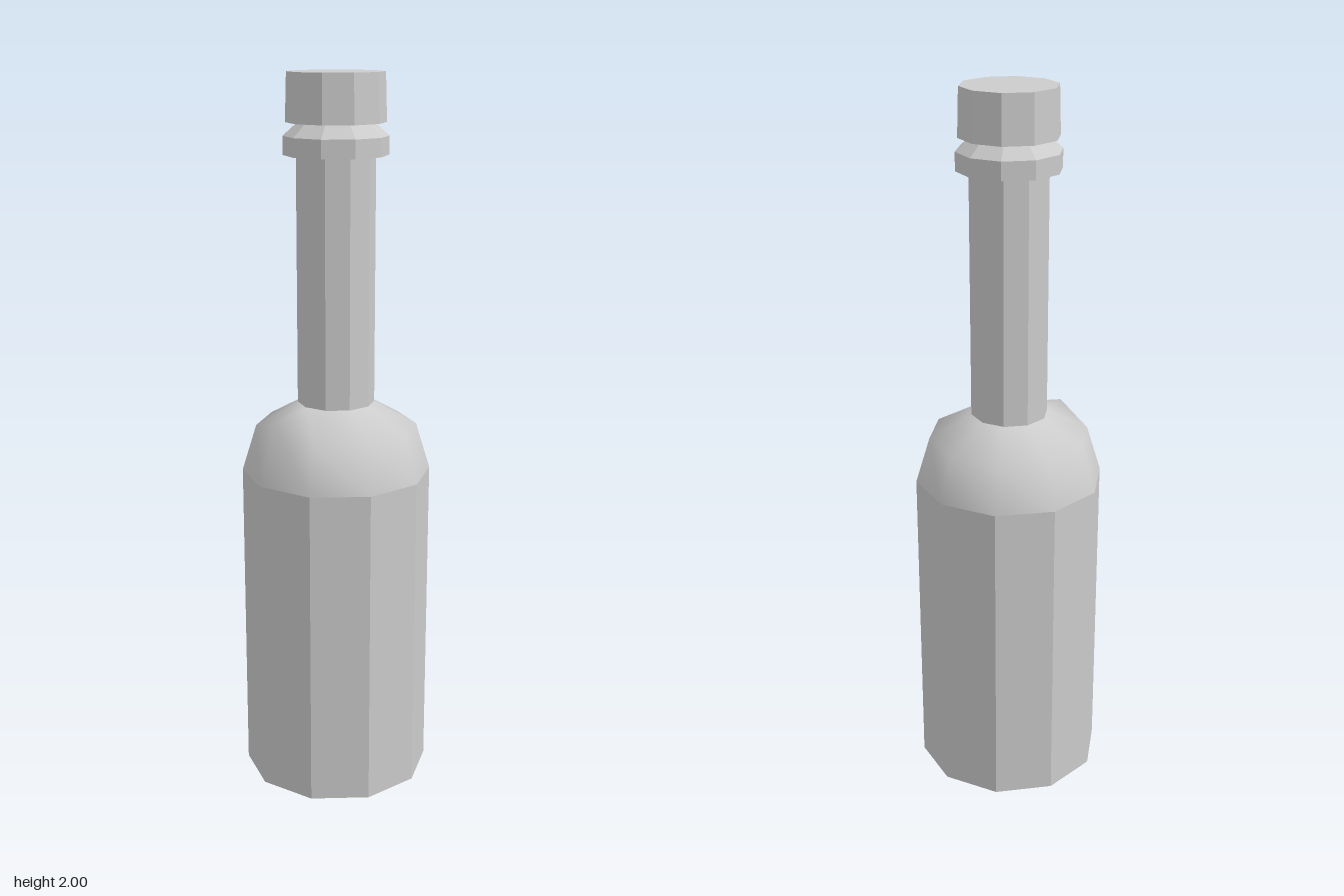
import * as THREE from 'three';
import { mergeVertices } from 'three/addons/utils/BufferGeometryUtils.js';

const SIDES = 10;

// Ten-sided turned shape with a corner on the x axis; profile runs bottom to top as [radius, y]
function turned(profile) {
  const points = profile.map(([r, y]) => new THREE.Vector2(r, y));
  return new THREE.LatheGeometry(points, SIDES, Math.PI / 2);
}

function addPart(group, name, geometry, flatShading) {
  const material = new THREE.MeshStandardMaterial({ color: 0xcccccc, flatShading });
  const mesh = new THREE.Mesh(geometry, material);
  mesh.name = name;
  group.add(mesh);
  return mesh;
}

export function createModel() {
  const bottle = new THREE.Group();
  bottle.name = 'bottle';

  // Faceted body with closed base
  addPart(bottle, 'body', turned([[0, 0], [0.265, 0], [0.265, 0.91]]), true);

  // Smooth rounded shoulder, with one front corner of its middle ring dented upward
  let shoulder = turned([[0.265, 0.91], [0.225, 1.04], [0.105, 1.107]]);
  shoulder.getAttribute('position').setXYZ(7 * 3 + 1, -0.067, 1.08, 0.203);
  shoulder.deleteAttribute('normal');
  shoulder.deleteAttribute('uv');
  shoulder = mergeVertices(shoulder, 1e-4);
  shoulder.computeVertexNormals();
  addPart(bottle, 'shoulder', shoulder, false);

  // Upper parts sit a hair off the body's axis
  const top = new THREE.Group();
  top.name = 'bottleTop';
  top.position.set(-0.002, 0, -0.002);
  bottle.add(top);

  addPart(top, 'neck', turned([[0.107, 1.09], [0.107, 1.79]]), true);
  addPart(top, 'collar', turned([
    [0.1, 1.785], [0.142, 1.785], [0.142, 1.835], [0.1, 1.872],
  ]), true);
  addPart(top, 'cap', turned([
    [0, 1.87], [0.135, 1.87], [0.131, 2], [0, 2],
  ]), true);

  return bottle;
}
